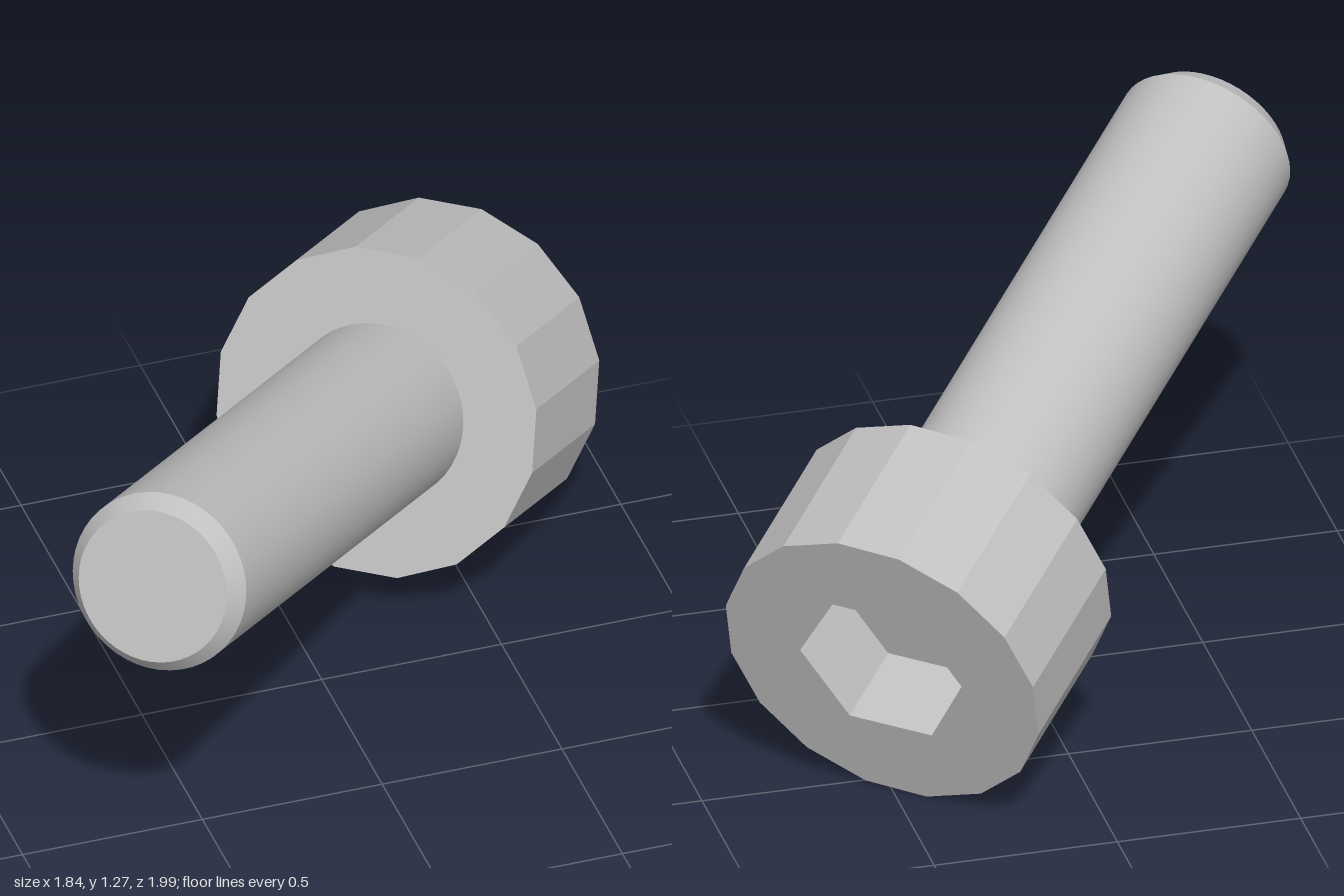
import * as THREE from 'three';

// Sizes along the bolt axis: z = 0 is the underside of the head, +z runs to the tip
const HEAD_R = 0.455, HEAD_H = 0.465, SOCKET_R = 0.239, SOCKET_DEPTH = 0.245;
const SHANK_R = 0.245, TIP_R = 0.209, SHANK_L = 1.653, CHAMFER = 0.05;

function polygon(radius, sides, startDegrees) {
  const points = [];
  for (let i = 0; i < sides; i++) {
    const a = THREE.MathUtils.degToRad(startDegrees) + (i / sides) * Math.PI * 2;
    points.push(new THREE.Vector2(Math.cos(a) * radius, Math.sin(a) * radius));
  }
  return points;
}

export function createModel() {
  const steel = new THREE.MeshStandardMaterial({ color: 0xc0c0c0 });
  steel.name = 'steel grey';
  const bolt = new THREE.Group();
  bolt.name = 'bolt';

  const add = (name, geometry, z) => {
    const mesh = new THREE.Mesh(geometry, steel);
    mesh.name = name;
    mesh.position.z = z;
    bolt.add(mesh);
  };
  const prism = (shape, depth) =>
    new THREE.ExtrudeGeometry(shape, { depth, bevelEnabled: false });
  const tube = (rTip, rBase, length) =>
    new THREE.CylinderGeometry(rTip, rBase, length, 48, 1, true).rotateX(Math.PI / 2);

  // Faceted head: a ring around the hexagonal socket, and a solid base as its floor
  const ring = new THREE.Shape(polygon(HEAD_R, 16, 0));
  ring.holes.push(new THREE.Path(polygon(SOCKET_R, 6, 47).reverse()));
  add('headSocketRing', prism(ring, SOCKET_DEPTH), -HEAD_H);
  const base = new THREE.Shape(polygon(HEAD_R, 16, 0));
  add('headBase', prism(base, HEAD_H - SOCKET_DEPTH), SOCKET_DEPTH - HEAD_H);

  // Round shank with a chamfered, flat tip
  const straight = SHANK_L - CHAMFER;
  add('shank', tube(SHANK_R, SHANK_R, straight), straight / 2);
  add('tipChamfer', tube(TIP_R, SHANK_R, CHAMFER), straight + CHAMFER / 2);
  add('tipFace', new THREE.CircleGeometry(TIP_R, 48), SHANK_L);

  // Lean the bolt: head low at the back left, tip high at the front right
  const axis = new THREE.Vector3(-0.621, 0.294, 0.727).normalize();
  const up = new THREE.Vector3(0, axis.z, -axis.y).normalize();
  const side = new THREE.Vector3().crossVectors(up, axis);
  bolt.quaternion.setFromRotationMatrix(new THREE.Matrix4().makeBasis(side, up, axis));
  bolt.position.set(0.27, 0.571, -0.35);

  const model = new THREE.Group();
  model.name = 'socketBolt';
  model.add(bolt);
  return model;
}
